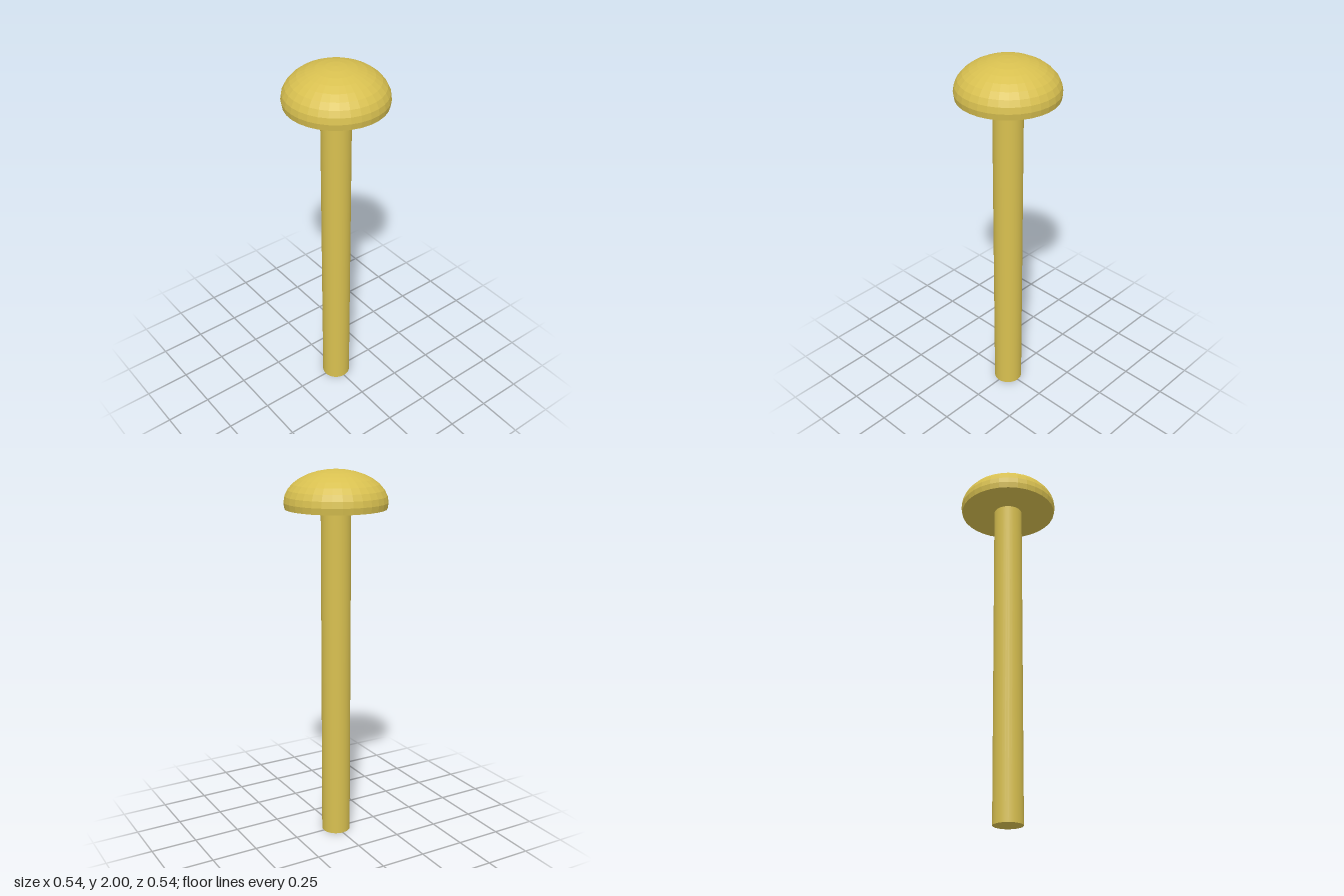
import * as THREE from 'three';

const SIDES = 32;
const STEM_RADIUS = 0.078;
const HEAD_RADIUS = 0.268;
const HEAD_HEIGHT = 0.165; // equator to crown
const EQUATOR_Y = 1.835;

export function createModel() {
  const group = new THREE.Group();
  group.name = 'rivet';
  const color = 0xd8c050;

  // Domed head: squashed sphere cut one ring below its equator, with a flat underside
  const profile = [];
  for (let i = 9; i >= 0; i--) {
    const a = (i * Math.PI) / 16;
    profile.push(new THREE.Vector2(HEAD_RADIUS * Math.sin(a), EQUATOR_Y + HEAD_HEIGHT * Math.cos(a)));
  }
  const bottomY = profile[0].y;
  profile.unshift(new THREE.Vector2(STEM_RADIUS, bottomY));
  const head = new THREE.Mesh(
    new THREE.LatheGeometry(profile, SIDES),
    new THREE.MeshStandardMaterial({ color, flatShading: true })
  );
  head.name = 'head';
  group.add(head);

  // Smooth straight stem, closed at the foot
  const stemGeometry = new THREE.CylinderGeometry(STEM_RADIUS, STEM_RADIUS, bottomY, SIDES);
  stemGeometry.translate(0, bottomY / 2, 0);
  const stem = new THREE.Mesh(stemGeometry, new THREE.MeshStandardMaterial({ color }));
  stem.name = 'stem';
  group.add(stem);

  return group;
}
